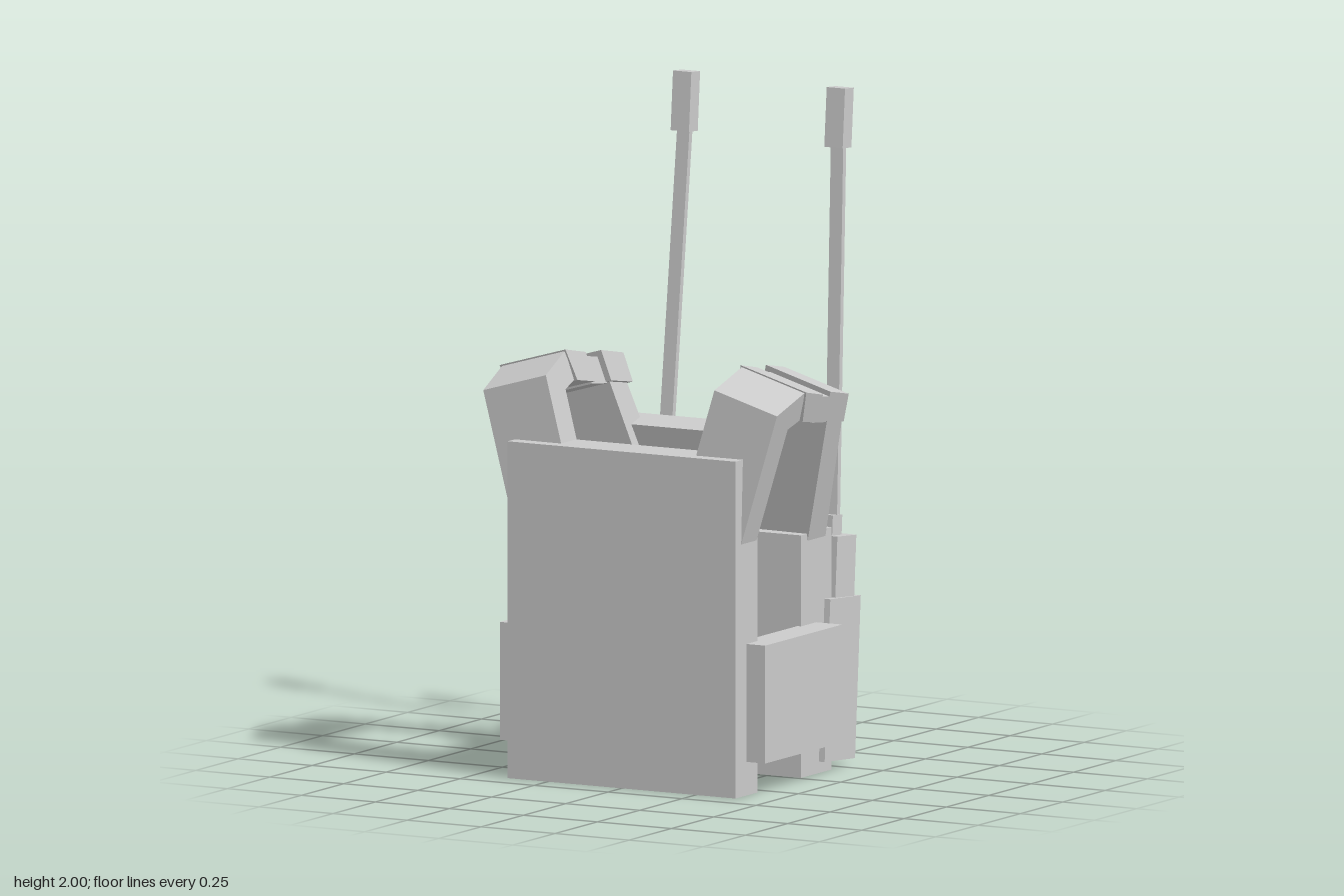
import * as THREE from 'three';

const material = new THREE.MeshStandardMaterial({ color: 0xcccccc, flatShading: true });

export function createModel() {
  const model = new THREE.Group();
  model.name = 'tacticalVest';

  function add(name, geometry, parent = model) {
    const mesh = new THREE.Mesh(geometry, material);
    mesh.name = name;
    parent.add(mesh);
    return mesh;
  }

  function box(name, size, pos, rot = [0, 0, 0], parent = model) {
    const mesh = add(name, new THREE.BoxGeometry(...size), parent);
    mesh.position.set(...pos);
    mesh.rotation.set(...rot);
    return mesh;
  }

  // Rectangular bar running from one point to another
  function bar(name, from, to, width, depth, parent = model) {
    const a = new THREE.Vector3(...from), b = new THREE.Vector3(...to);
    const dir = b.clone().sub(a);
    const mesh = add(name, new THREE.BoxGeometry(width, dir.length(), depth), parent);
    mesh.position.copy(a).add(b).multiplyScalar(0.5);
    mesh.quaternion.setFromUnitVectors(new THREE.Vector3(0, 1, 0), dir.normalize());
    return mesh;
  }

  // Body panels
  box('frontPlate', [0.77, 1, 0.13], [0, 0.5, 0.355]);
  box('backPlate', [0.72, 0.72, 0.18], [0, 0.36, -0.1]);
  box('upperBackPanel', [0.54, 0.34, 0.09], [0, 0.845, -0.118], [0.23, 0, 0]);
  box('backPatch', [0.18, 0.18, 0.02], [0, 0.83, -0.182], [0.23, 0, 0]);

  // Shoulder strap pieces: side profile as [z, height], then inner and outer edge
  const strapPieces = [
    ['frontStrap', [[0.39, -0.53], [0.37, -0.055], [0.23, 0], [0.22, -0.09], [0.28, -0.11], [0.3, -0.53]], 0, 0.22],
    ['shoulderPad', [[0.235, 0.003], [0.125, -0.02], [0.115, -0.11], [0.21, -0.093]], -0.005, 0.226],
    ['shoulderLink', [[0.13, -0.03], [0.045, -0.043], [0.035, -0.125], [0.12, -0.115]], 0.004, 0.212],
    ['rearShoulderPad', [[0.055, -0.026], [-0.065, -0.05], [-0.078, -0.14], [0.04, -0.12]], -0.015, 0.212],
    ['backStrap', [[0.03, -0.1], [-0.065, -0.12], [-0.165, -0.56], [-0.058, -0.56]], 0, 0.21],
  ];

  for (const side of [1, -1]) {
    const label = side > 0 ? 'left' : 'right';

    const strap = new THREE.Group();
    strap.name = label + 'ShoulderStrap';
    strap.position.set(side * 0.3, 1.25, 0);
    strap.rotation.z = -side * 0.28;
    model.add(strap);
    for (const [name, profile, inner, outer] of strapPieces) {
      const shape = new THREE.Shape(profile.map(([z, y]) => new THREE.Vector2(-z, y)));
      const geometry = new THREE.ExtrudeGeometry(shape, { depth: outer - inner, bevelEnabled: false });
      geometry.rotateY(Math.PI / 2);
      geometry.translate(side > 0 ? inner : -outer, 0, 0);
      add(name, geometry, strap);
    }

    box(label + 'SidePouch', [0.1, 0.35, 0.455], [side * 0.398, 0.275, 0.128]);
  }

  // Two radios in pouches, each with a knob and a tall antenna
  const radios = [
    { name: 'leftRadio', x: 0.263, knob: [0.195, -0.272], base: [0.318, -0.258], tip: [0.295, -0.345], z: -0.262 },
    { name: 'rightRadio', x: -0.217, knob: [-0.15, -0.282], base: [-0.268, -0.28], tip: [-0.25, -0.39], z: -0.265 },
  ];
  for (const { name, x, knob, base, tip, z } of radios) {
    const radio = new THREE.Group();
    radio.name = name;
    model.add(radio);
    box('radioPouch', [0.233, 0.48, 0.18], [x, 0.267, -0.222], [-0.07, 0, 0], radio);
    box('radioBody', [0.215, 0.24, 0.1], [x, 0.565, z], [-0.07, -0.07, 0], radio);
    box('knob', [0.044, 0.07, 0.044], [knob[0], 0.7, knob[1]], [-0.07, -0.07, 0], radio);
    box('antennaBase', [0.046, 0.08, 0.05], [base[0], 0.705, base[1]], [-0.07, -0.07, 0], radio);
    bar('antennaRod', [base[0], 0.73, base[1] - 0.01], [tip[0], 1.83, tip[1]], 0.042, 0.018, radio);
    box('antennaCap', [0.062, 0.176, 0.052], [tip[0], 1.91, tip[1] - 0.003], [-0.08, 0, 0], radio);
  }

  // Turned middle pouch held by elastic cords meeting at a buckle
  box('middlePouch', [0.18, 0.45, 0.178], [0.018, 0.255, -0.283], [0, 0.31, 0]);
  box('cordBuckle', [0.078, 0.06, 0.026], [0.075, 0.188, -0.396]);
  for (const [x, y, z] of [[0.35, 0.23, -0.32], [0.35, 0.13, -0.312], [-0.26, 0.23, -0.31], [-0.26, 0.13, -0.302]]) {
    bar('cord', [0.075 + Math.sign(x) * 0.03, 0.188, -0.397], [x, y, z], 0.013, 0.013);
  }

  return model;
}
